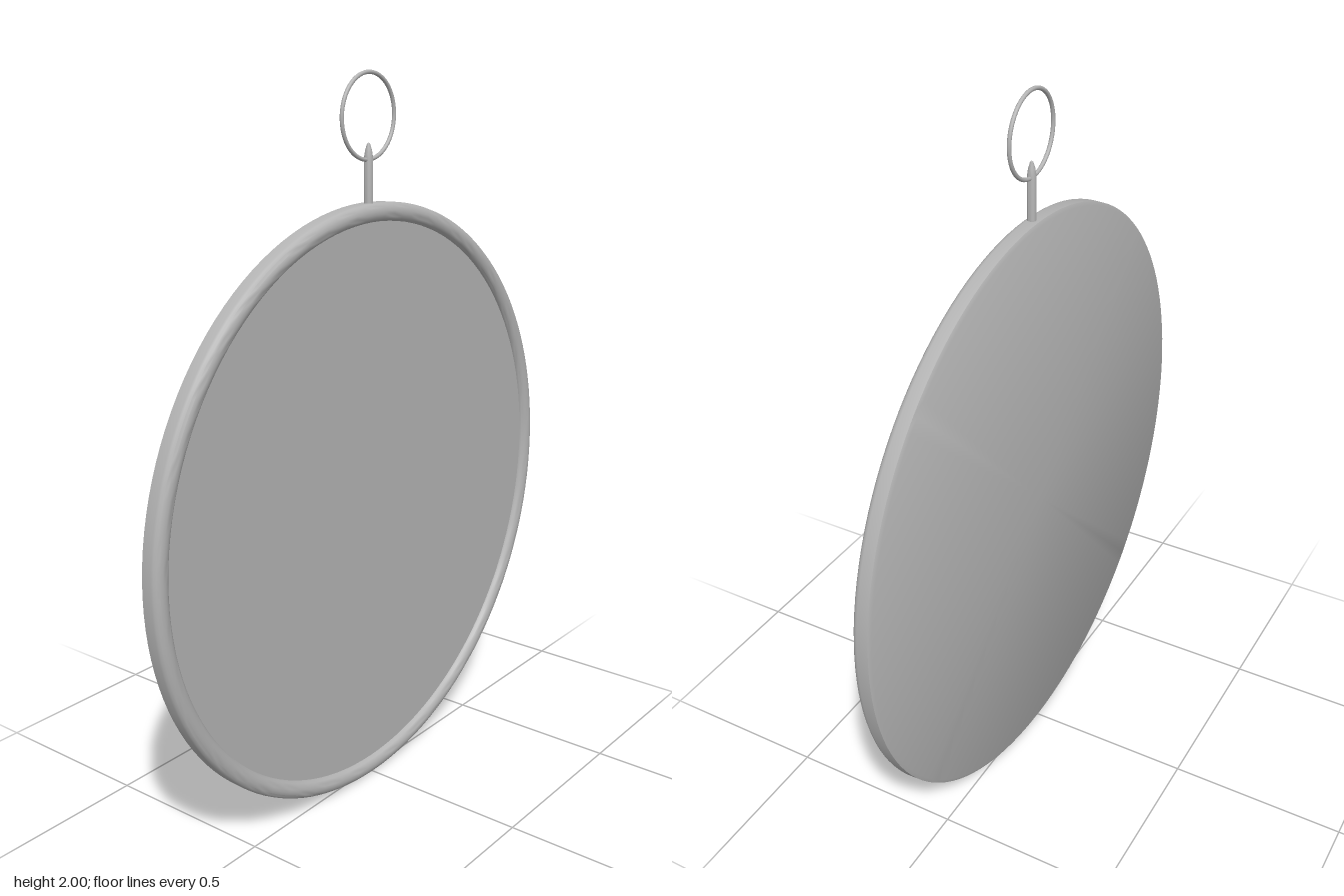
import * as THREE from 'three';
import { toCreasedNormals } from 'three/addons/utils/BufferGeometryUtils.js';

const CENTRE_Y = 0.833;

export function createModel() {
  const group = new THREE.Group();
  const silver = new THREE.MeshStandardMaterial({ color: 0xb4b4b4 });
  silver.name = 'silver';

  const add = (name, geometry, y) => {
    const mesh = new THREE.Mesh(geometry, silver);
    mesh.name = name;
    mesh.position.y = y;
    group.add(mesh);
    return mesh;
  };

  // Revolves [radius, z] pairs about the z axis, keeping sharp edges
  const turned = (points, sides) => {
    const profile = points.map(([r, z]) => new THREE.Vector2(r, z));
    const lathe = new THREE.LatheGeometry(profile, sides).rotateX(Math.PI / 2);
    return toCreasedNormals(lathe, 0.6);
  };

  // Shallow case: flat back, straight side and a rounded front rim
  const rim = [[0, -0.027], [0.822, -0.027], [0.832, -0.022], [0.833, 0.008]];
  for (let i = 1; i <= 8; i++) {
    const a = (i / 8) * Math.PI * 0.9;
    rim.push([0.808 + 0.025 * Math.cos(a), 0.008 + 0.019 * Math.sin(a)]);
  }
  rim.push([0.783, 0.008]);
  add('case', turned(rim, 128), CENTRE_Y);

  // Recessed front plate
  add('mirrorFace', new THREE.CircleGeometry(0.784, 128), CENTRE_Y).position.z = 0.008;

  // Pointed post that holds the ring
  const post = [[0, 0], [0.012, 0], [0.012, 0.125], [0.009, 0.145], [0.004, 0.162], [0, 0.165]]
    .map(([r, y]) => new THREE.Vector2(r, y));
  add('post', toCreasedNormals(new THREE.LatheGeometry(post, 20), 0.6), 1.655);

  // Hanging ring
  add('hangingRing', new THREE.TorusGeometry(0.109, 0.0055, 10, 72), 1.8855);

  return group;
}
